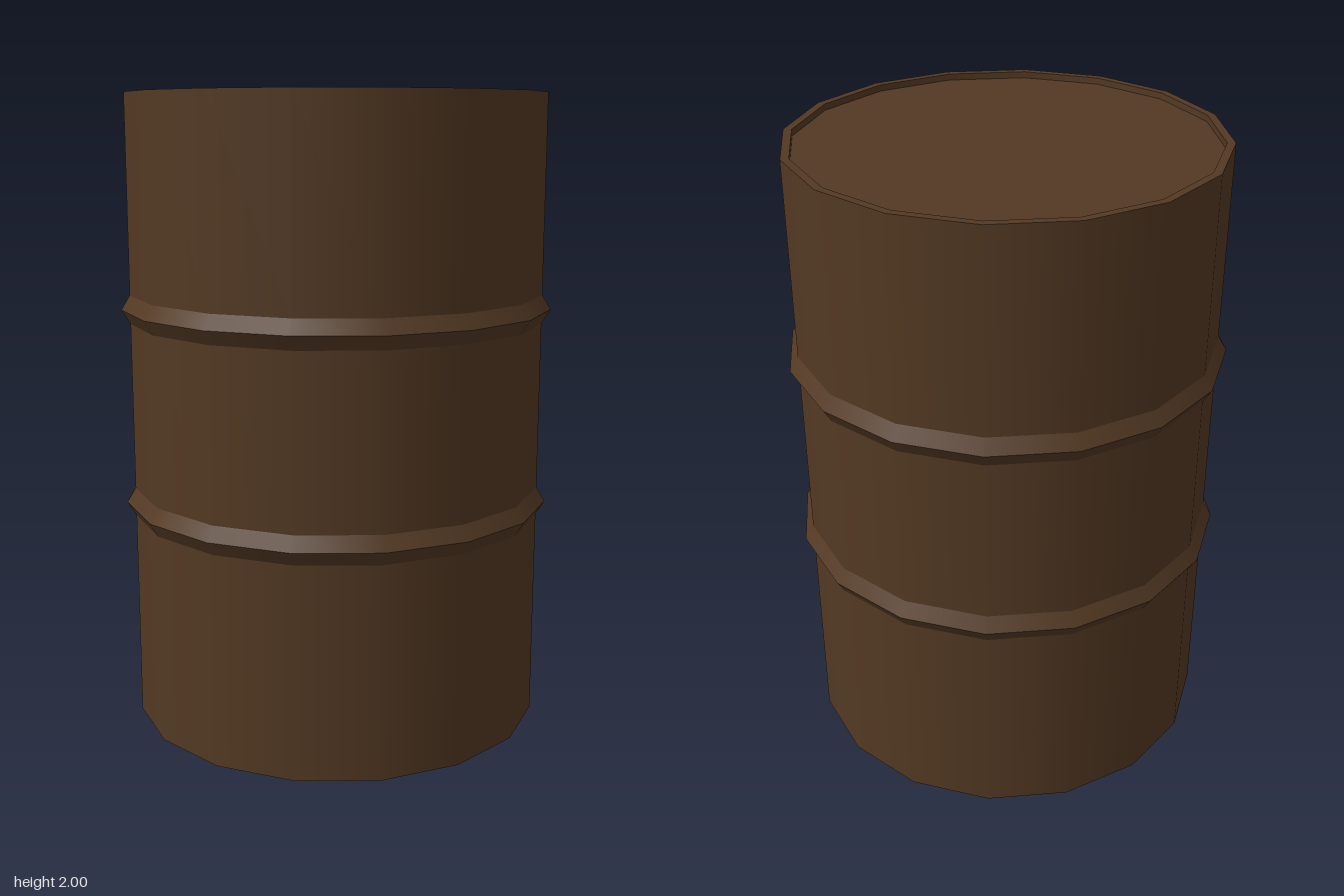
import * as THREE from 'three';
import { mergeGeometries } from 'three/addons/utils/BufferGeometryUtils.js';

const SIDES = 16;
const HALF_STEP = Math.PI / SIDES;
const HEIGHT = 2;
const WALL = 0.645;   // distances from the axis to the middle of a flat side
const RIB = 0.672;
const RIM = 0.62;
const RECESS = 0.02;

// Turns a profile into a 16-sided ring: smooth around, sharp at each profile point.
function turned(profile) {
  const points = profile.map(([r, y]) => new THREE.Vector2(r / Math.cos(HALF_STEP), y));
  const bands = points.slice(1).map((p, i) =>
    new THREE.LatheGeometry([points[i], p], SIDES, HALF_STEP));
  return mergeGeometries(bands);
}

export function createModel() {
  const model = new THREE.Group();
  model.name = 'barrel';
  const brown = new THREE.MeshStandardMaterial({ color: 0x533923 });
  brown.name = 'dark brown';

  const add = (name, profile) => {
    const mesh = new THREE.Mesh(turned(profile), brown);
    mesh.name = name;
    model.add(mesh);
  };

  // Recessed ends with their rims
  add('base', [[0, RECESS], [RIM, RECESS], [RIM, 0], [WALL, 0]]);
  add('lid', [[WALL, HEIGHT], [RIM, HEIGHT], [RIM, HEIGHT - RECESS], [0, HEIGHT - RECESS]]);

  // Wall sections between the ribs, and the two pointed ribs
  const half = 0.045;
  let bottom = 0;
  for (const [name, y] of [['lower', 0.713], ['upper', 1.335]]) {
    add(name + 'Wall', [[WALL, bottom], [WALL, y - half]]);
    add(name + 'Rib', [[WALL, y - half], [RIB, y], [WALL, y + half]]);
    bottom = y + half;
  }
  add('topWall', [[WALL, bottom], [WALL, HEIGHT]]);

  return model;
}
